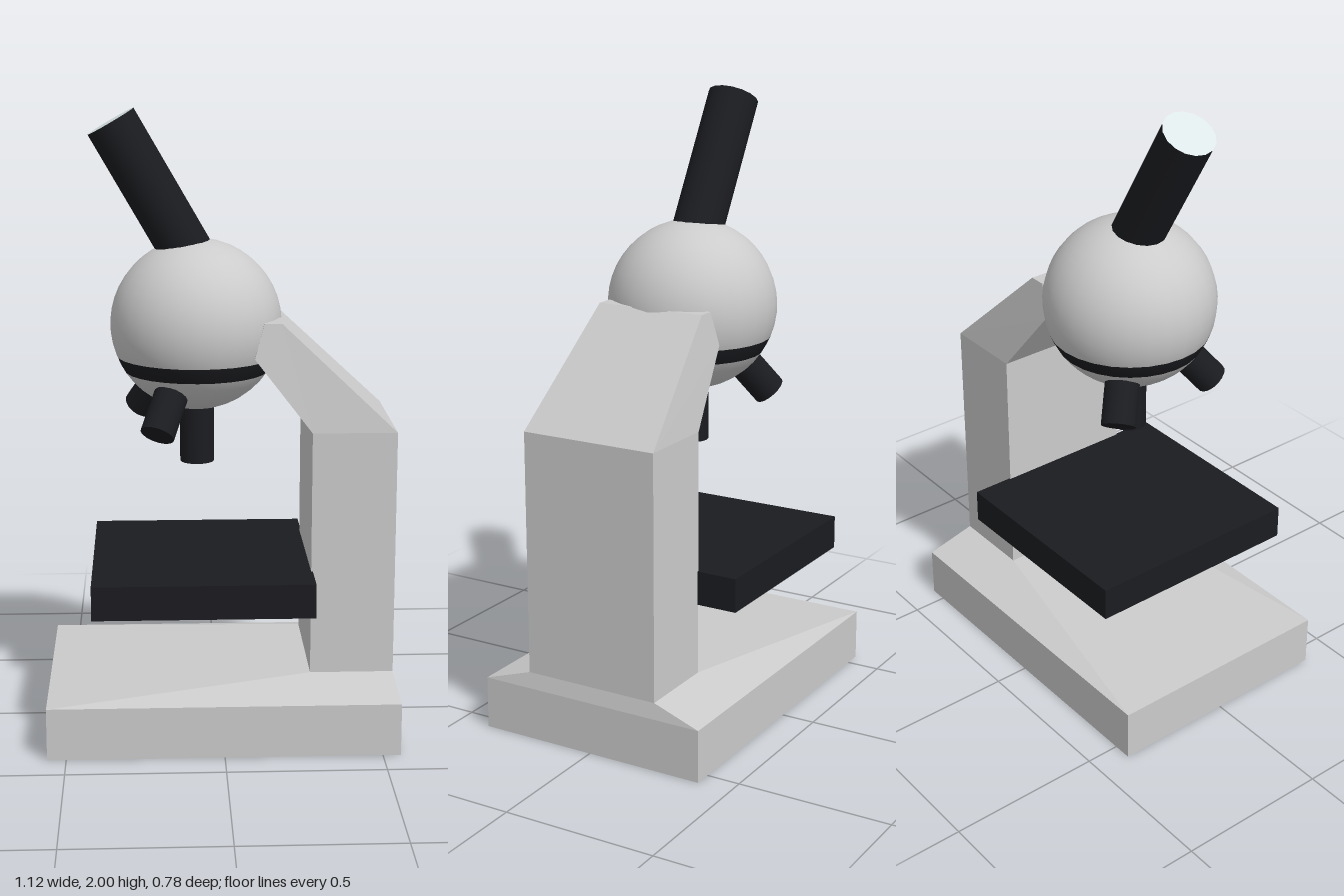
import * as THREE from 'three';

const paint = (color) => new THREE.MeshStandardMaterial({ color });

// Flat-faced solid through four-cornered rings.
// Each ring is [front, back]; each of those is [x, y, half width].
function loft(rings) {
  const corners = rings.map(([f, b]) => [
    [f[0], f[1], f[2]], [b[0], b[1], b[2]], [b[0], b[1], -b[2]], [f[0], f[1], -f[2]],
  ]);
  const positions = [];
  const quad = (a, b, c, d) => positions.push(...a, ...b, ...c, ...a, ...c, ...d);
  for (let r = 0; r < corners.length - 1; r++) {
    for (let i = 0; i < 4; i++) {
      const j = (i + 1) % 4;
      quad(corners[r][i], corners[r][j], corners[r + 1][j], corners[r + 1][i]);
    }
  }
  const [first, last] = [corners[0], corners[corners.length - 1]];
  quad(first[3], first[2], first[1], first[0]);
  quad(...last);
  const geometry = new THREE.BufferGeometry();
  geometry.setAttribute('position', new THREE.Float32BufferAttribute(positions, 3));
  geometry.computeVertexNormals();
  return geometry;
}

export function createModel() {
  const model = new THREE.Group();
  model.name = 'microscope';
  const grey = paint(0xcccccc);
  const black = paint(0x1b1c20);
  const glass = paint(0xdce6e6);

  const add = (name, geometry, material) => {
    const mesh = new THREE.Mesh(geometry, material);
    mesh.name = name;
    model.add(mesh);
    return mesh;
  };

  // Straight tube between two points
  const addTube = (name, from, to, radius, material) => {
    const axis = to.clone().sub(from);
    const mesh = add(name, new THREE.CylinderGeometry(radius, radius, axis.length(), 16), material);
    mesh.position.copy(from).add(to).multiplyScalar(0.5);
    mesh.quaternion.setFromUnitVectors(new THREE.Vector3(0, 1, 0), axis.normalize());
  };

  // Foot, column and tapering arm in one solid
  add('baseAndArm', loft([
    [[-0.56, 0, 0.39], [0.557, 0, 0.39]],
    [[-0.56, 0.17, 0.39], [0.557, 0.17, 0.39]],
    [[0.28, 0.22, 0.23], [0.547, 0.22, 0.23]],
    [[0.28, 1.01, 0.23], [0.547, 1.01, 0.23]],
    [[0.1, 1.24, 0.2], [0.185, 1.35, 0.185]],
    [[0.1, 1.24, 0.2], [0.13, 1.35, 0.185]],
  ]), grey);

  // Specimen stage
  add('stage', new THREE.BoxGeometry(0.7, 0.11, 0.73), black).position.set(-0.065, 0.505, 0);

  // Round head, split into dome, dark band and lower bowl
  const centre = new THREE.Vector3(-0.077, 1.32, 0);
  const radius = 0.274;
  const angleAt = (y) => Math.acos((y - centre.y) / radius);
  const cuts = [0, angleAt(1.22), angleAt(1.17), Math.PI];
  ['headDome', 'headBand', 'headBowl'].forEach((name, i) => {
    const slice = new THREE.SphereGeometry(radius, 28, [14, 2, 7][i], 0, Math.PI * 2,
      cuts[i], cuts[i + 1] - cuts[i]);
    add(name, slice, i === 1 ? black : grey).position.copy(centre);
  });

  // Eyepiece with a pale lens on its upper end
  addTube('eyepiece', new THREE.Vector3(-0.092, 1.527, 0), new THREE.Vector3(-0.342, 1.96, 0),
    0.083, [black, glass, black]);

  // Three objectives pointing out from the head's centre
  [[-0.075, 0.87, 0], [-0.205, 1.01, 0.235], [-0.258, 1.015, -0.19]].forEach((tip, i) => {
    const end = new THREE.Vector3(...tip);
    addTube(`objective${i + 1}`, centre.clone().lerp(end, 0.4), end, 0.055, black);
  });

  return model;
}
